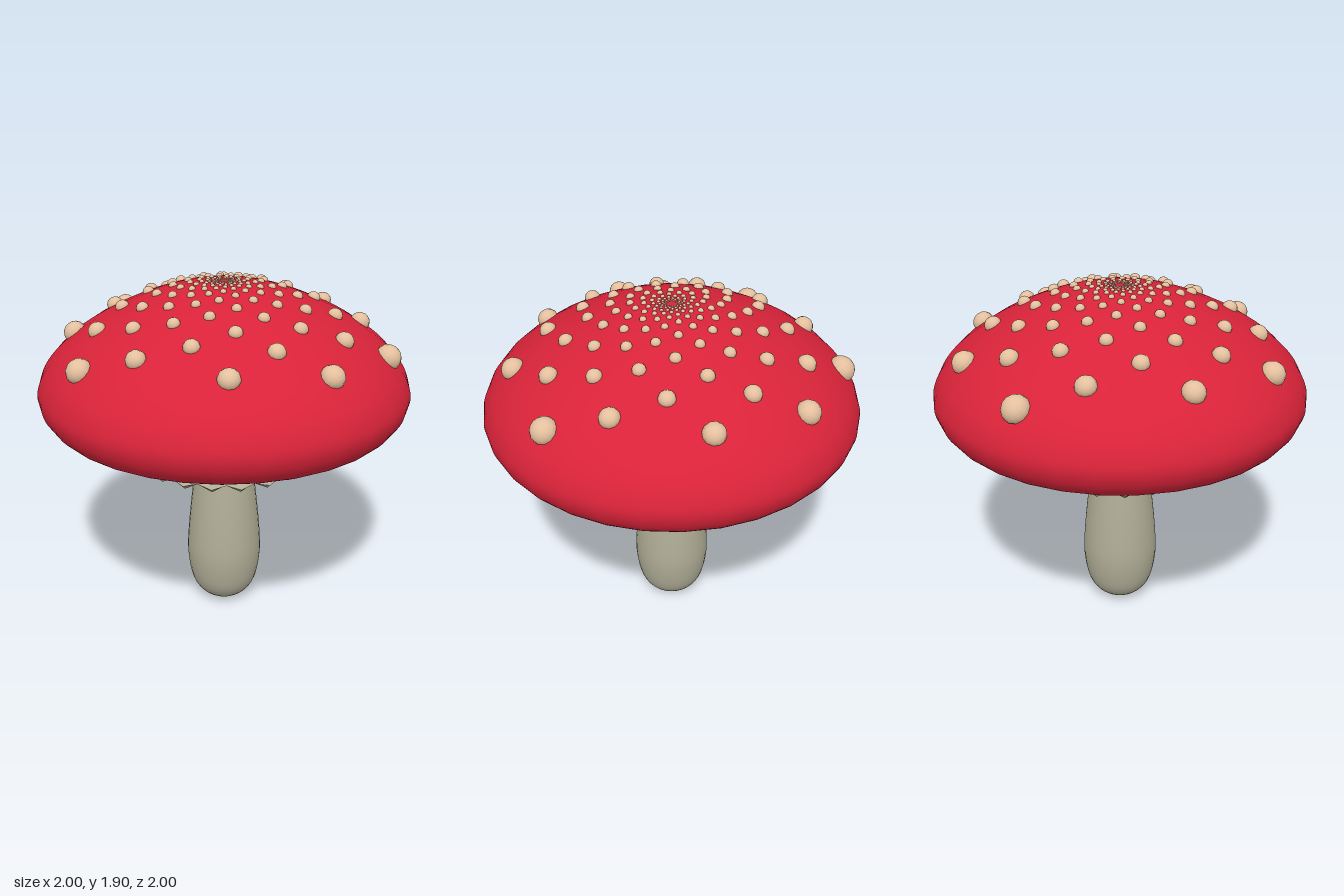
import * as THREE from 'three';
import { mergeGeometries, toCreasedNormals } from 'three/addons/utils/BufferGeometryUtils.js';

const material = (name, color) => {
  const m = new THREE.MeshStandardMaterial({ color, side: THREE.DoubleSide });
  m.name = name;
  return m;
};
const vectors = (pts) => pts.map(([x, y]) => new THREE.Vector2(x, y));
const smoothProfile = (pts, n) => new THREE.SplineCurve(vectors(pts)).getPoints(n);

// Closed ring surface: profile(column) gives [radius, y] points, listed counter-clockwise
function ringSurface(columns, profile) {
  const pos = [], idx = [];
  const rows = profile(0).length;
  for (let c = 0; c < columns; c++) {
    const a = (c / columns) * Math.PI * 2;
    for (const [r, y] of profile(c)) pos.push(Math.sin(a) * r, y, Math.cos(a) * r);
    const next = ((c + 1) % columns) * rows;
    for (let k = 0; k < rows - 1; k++) {
      const p = c * rows + k, q = next + k;
      idx.push(p, q, p + 1, q, q + 1, p + 1);
    }
  }
  const g = new THREE.BufferGeometry();
  g.setAttribute('position', new THREE.Float32BufferAttribute(pos, 3));
  g.setIndex(idx);
  g.computeVertexNormals();
  return g;
}

export function createModel() {
  const group = new THREE.Group();
  const red = material('cap red', 0xd92339);
  const tan = material('spot tan', 0xe4c09e);
  const grey = material('stem grey', 0xb0ad96);
  const add = (name, geometry, mat) => {
    const mesh = new THREE.Mesh(geometry, mat);
    mesh.name = name;
    group.add(mesh);
  };

  // Stem
  const stem = smoothProfile([[0, 0.005], [0.08, 0.02], [0.15, 0.075], [0.19, 0.16], [0.21, 0.3],
    [0.205, 0.44], [0.188, 0.62], [0.165, 0.82], [0.148, 0.98], [0.14, 1.26]], 30);
  stem[0].x = 0;
  add('stem', new THREE.LatheGeometry(stem, 32), grey);

  // Skirt around the stem: smooth underside, thin toothed lip, then the flared top
  add('skirt', toCreasedNormals(ringSurface(40, (c) => {
    const w = c % 2 ? -1 : 1;
    return [[0.14, 1.12], [0.2, 1.06], [0.3, 0.985], [0.39, 0.945],
      [0.465 - 0.008 * w, 0.922 + 0.018 * w], [0.49 - 0.008 * w, 0.937 + 0.01 * w],
      [0.4, 0.975], [0.33, 1.02], [0.26, 1.08], [0.195, 1.14], [0.163, 1.19], [0.15, 1.25], [0.13, 1.25]];
  }), 0.9), grey);

  // Cap dome and the wall inside its rim
  const dome = smoothProfile([[0.845, 1.14], [0.915, 1.168], [0.975, 1.235], [1, 1.315], [0.985, 1.39],
    [0.945, 1.465], [0.87, 1.55], [0.77, 1.63], [0.64, 1.71], [0.47, 1.79], [0.32, 1.845],
    [0.16, 1.885], [0, 1.9]], 48);
  dome[48].x = 0;
  add('capDome', new THREE.LatheGeometry(dome, 32), red);
  add('capInnerRim', new THREE.LatheGeometry(vectors([[0.8, 1.36], [0.83, 1.25], [0.845, 1.14]]), 32), red);

  // Pleated gills: a funnel up from the stem, arching down to teeth at the rim wall
  add('gills', toCreasedNormals(ringSurface(160, (c) => {
    const w = c % 2;
    return [[0.145, 1.21], [0.2 - 0.008 * w, 1.27 + 0.01 * w], [0.29 - 0.012 * w, 1.345 + 0.02 * w],
      [0.41, 1.4 + 0.035 * w], [0.54, 1.405 + 0.04 * w], [0.66 + 0.015 * w, 1.355 + 0.04 * w],
      [0.76 + 0.025 * w, 1.275 + 0.04 * w], [0.832 + 0.04 * w, 1.16 + 0.07 * w]];
  }), 0.4), tan);

  // Spots in a shrinking spiral, seated along the dome normal
  const up = new THREE.Vector3(0, 1, 0);
  const spots = [];
  for (let i = 0; i < 155; i++) {
    const t = Math.exp(-0.0227 * i);
    const r = 0.935 * t * (1 - 0.05 * t * t);
    const size = 0.002 + 0.1 * t - 0.115 * t * t + 0.087 * t * t * t;
    const angle = 3.615 + 2.3107 * i;
    let k = 47;
    while (dome[k].x < r) k--;
    const p = dome[k], q = dome[k + 1];
    const y = p.y + (q.y - p.y) * (p.x - r) / (p.x - q.x);
    const slope = new THREE.Vector2(q.y - p.y, p.x - q.x).normalize();
    const normal = new THREE.Vector3(slope.x * Math.cos(angle), slope.y, slope.x * Math.sin(angle));
    const matrix = new THREE.Matrix4().compose(
      new THREE.Vector3(r * Math.cos(angle), y, r * Math.sin(angle)),
      new THREE.Quaternion().setFromUnitVectors(up, normal),
      new THREE.Vector3(size, size * 0.92, size));
    spots.push(new THREE.SphereGeometry(1, 12, 8).applyMatrix4(matrix));
  }
  add('spots', mergeGeometries(spots), tan);

  return group;
}
